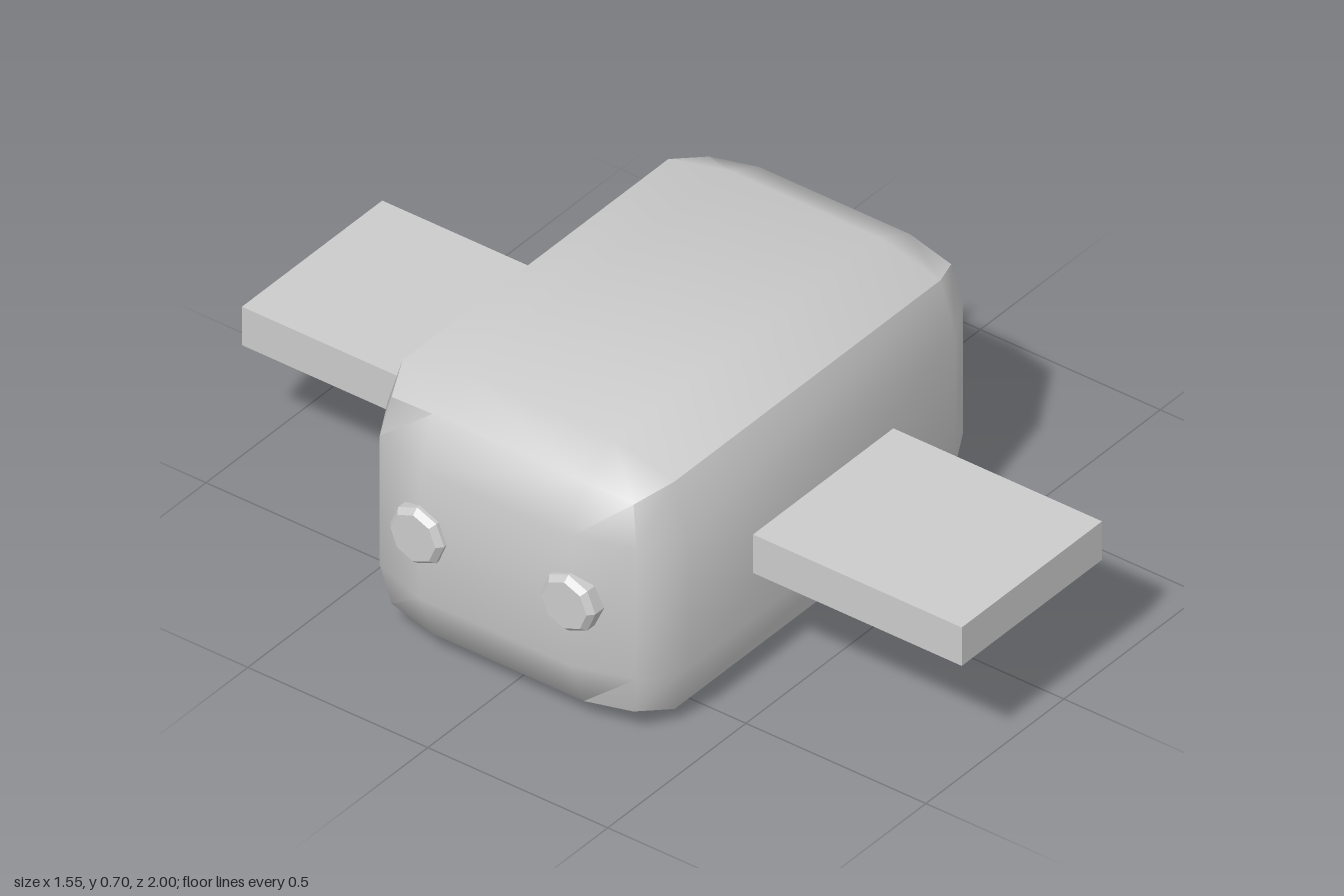
import * as THREE from 'three';
import { mergeVertices, toCreasedNormals } from 'three/addons/utils/BufferGeometryUtils.js';

const MID_Y = 0.352;

// Box with two-step bevels: a 3x3x3 grid whose edges and corners are pulled in
function bevelledBox(half, inset, corner, edge) {
  let geo = new THREE.BoxGeometry(2, 2, 2, 3, 3, 3);
  geo.deleteAttribute('uv');
  geo.deleteAttribute('normal');
  geo = mergeVertices(geo, 1e-3);
  const pos = geo.attributes.position;
  for (let i = 0; i < pos.count; i++) {
    const p = [pos.getX(i), pos.getY(i), pos.getZ(i)];
    const outer = p.map((v) => Math.abs(v) > 0.9);
    const count = outer.filter(Boolean).length;
    const longEdge = count === 2 && !outer[0];
    const out = p.map((v, a) => {
      let pull = 0;
      if (!outer[a]) pull = inset[a];
      else if (count === 3) pull = inset[a] * corner;
      else if (longEdge) pull = edge;
      else if (count === 2) pull = inset[a] * 0.3;
      return Math.sign(v) * (half[a] - pull);
    });
    pos.setXYZ(i, ...out);
  }
  return toCreasedNormals(geo, THREE.MathUtils.degToRad(52));
}

export function createModel() {
  const group = new THREE.Group();
  const smooth = new THREE.MeshStandardMaterial({ color: 0xcccccc });
  const flat = new THREE.MeshStandardMaterial({ color: 0xcccccc, flatShading: true });

  const add = (name, geo, mat, x, y, z) => {
    const mesh = new THREE.Mesh(geo, mat);
    mesh.name = name;
    mesh.position.set(x, y, z);
    group.add(mesh);
    return mesh;
  };

  // Rounded body, long along x
  add('body', bevelledBox([0.638, 0.35, 0.42], [0.157, 0.175, 0.21], 0.4, 0.042),
    smooth, -0.118, 0.351, 0);

  // Pointed cone on the +x end
  const cone = new THREE.ConeGeometry(0.076, 0.257, 32);
  cone.rotateZ(-Math.PI / 2);
  add('noseCone', cone, smooth, 0.6465, MID_Y, 0);

  // Chamfered octagonal stud, shared by both sides
  const profile = [[0, -0.05], [0.06, -0.05], [0.075, -0.035], [0.075, 0.015], [0.062, 0.03], [0, 0.03]]
    .map(([r, h]) => new THREE.Vector2(r, h));
  const stud = new THREE.LatheGeometry(profile, 8);
  stud.rotateZ(Math.PI / 2);

  for (const side of [1, -1]) {
    const label = side > 0 ? 'front' : 'back';
    // Slab wing running out of the body side
    add(label + 'Wing', new THREE.BoxGeometry(0.508, 0.104, 0.62), flat, -0.116, MID_Y, side * 0.69);
    // Stud on the -x end
    add(label + 'Stud', stud, flat, -0.75, MID_Y, side * 0.21);
  }
  return group;
}
